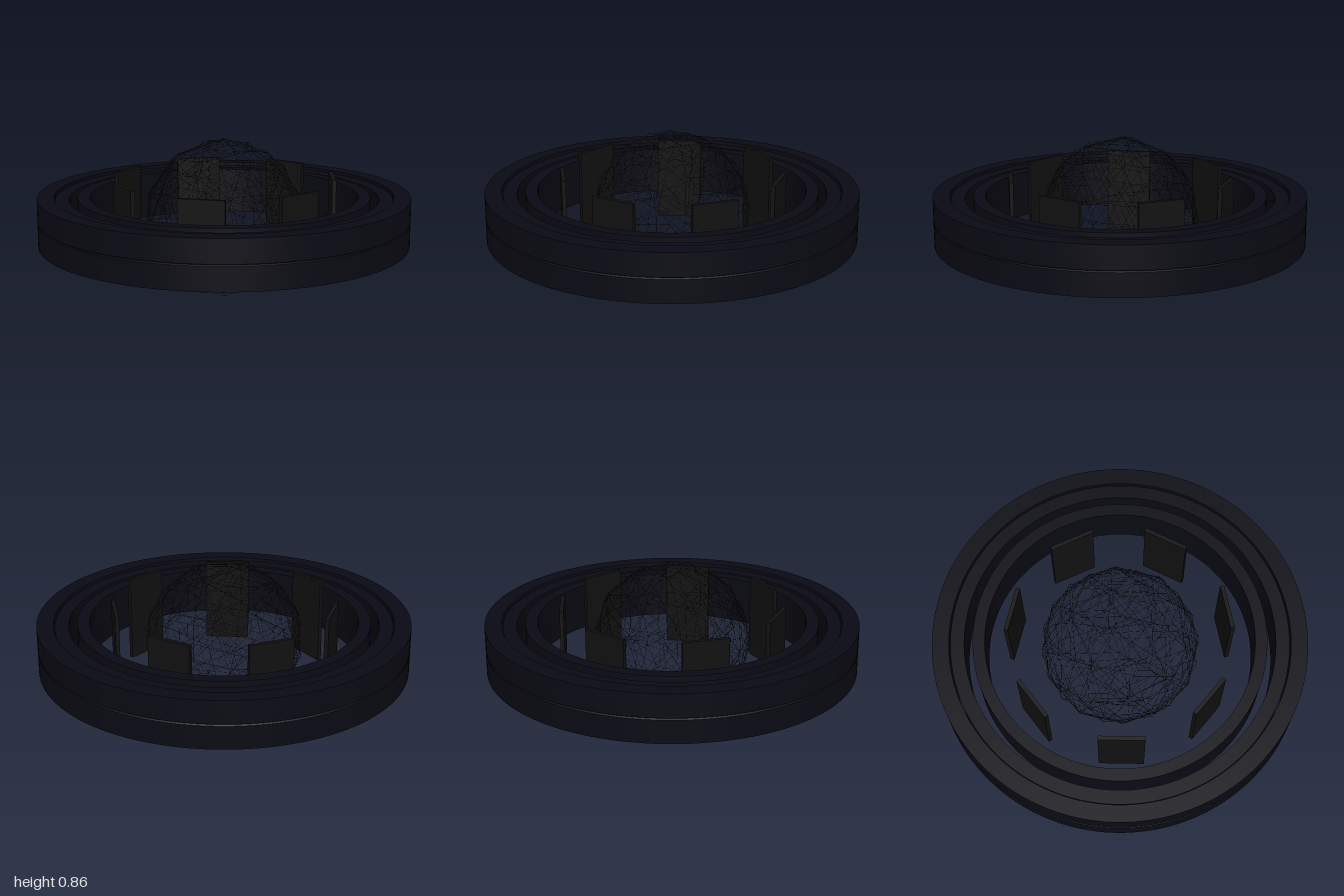
import * as THREE from 'three';
import { mergeGeometries } from 'three/addons/utils/BufferGeometryUtils.js';

const ringMat = new THREE.MeshStandardMaterial({ color: 0x0a0a14 });
const panelMat = new THREE.MeshStandardMaterial({ color: 0x111111 });
const wireMat = new THREE.MeshStandardMaterial({ color: 0x111111 });

// Ring from a closed profile, one lathe per side so the edges stay sharp
function ring(name, profile) {
  const sides = profile.map((p, i) => {
    const q = profile[(i + 1) % profile.length];
    return new THREE.LatheGeometry([new THREE.Vector2(...p), new THREE.Vector2(...q)], 128);
  });
  const mesh = new THREE.Mesh(mergeGeometries(sides), ringMat);
  mesh.name = name;
  return mesh;
}

const band = (r0, r1, y0, y1) => [[r0, y0], [r1, y0], [r1, y1], [r0, y1]];

// Thin rod between two points
function rod(a, b, radius) {
  const dir = b.clone().sub(a);
  const geo = new THREE.CylinderGeometry(radius, radius, dir.length(), 3, 1, true);
  const turn = new THREE.Quaternion().setFromUnitVectors(
    new THREE.Vector3(0, 1, 0), dir.clone().normalize());
  geo.applyQuaternion(turn);
  const mid = a.clone().add(b).multiplyScalar(0.5);
  return geo.translate(mid.x, mid.y, mid.z);
}

// Overlapping wire cages, each turned differently
function wireSphere(radius, cages) {
  const rods = [];
  for (let c = 0; c < cages; c++) {
    const cage = new THREE.IcosahedronGeometry(radius, 1);
    cage.applyMatrix4(new THREE.Matrix4().makeRotationFromEuler(
      new THREE.Euler(c * 0.83, c * 1.37, c * 0.59)));
    const pos = new THREE.EdgesGeometry(cage, 0.1).attributes.position;
    for (let i = 0; i < pos.count; i += 2) {
      const a = new THREE.Vector3().fromBufferAttribute(pos, i);
      const b = new THREE.Vector3().fromBufferAttribute(pos, i + 1);
      rods.push(rod(a, b, 0.0009));
    }
  }
  const mesh = new THREE.Mesh(mergeGeometries(rods), wireMat);
  mesh.name = 'wireSphere';
  return mesh;
}

export function createModel() {
  const model = new THREE.Group();
  model.name = 'ringedSphere';

  // Outer ring with a fine groove round its middle
  model.add(ring('outerRing', [
    [0.91, 0.30], [1, 0.30], [1, 0.425], [0.992, 0.43], [1, 0.435], [1, 0.56], [0.91, 0.56],
  ]));
  model.add(ring('middleRing', band(0.83, 0.904, 0.285, 0.545)));
  model.add(ring('innerRing', band(0.72, 0.785, 0.30, 0.555)));

  // Seven upright panels around the sphere
  const panels = new THREE.Group();
  panels.name = 'panels';
  for (let i = 0; i < 7; i++) {
    const a = (i * Math.PI * 2) / 7;
    const panel = new THREE.Mesh(new THREE.BoxGeometry(0.022, 0.465, 0.245), panelMat);
    panel.name = 'panel';
    panel.position.set(0.585 * Math.cos(a), 0.42, 0.585 * Math.sin(a));
    panel.rotation.y = -a - 0.03;
    panels.add(panel);
  }
  model.add(panels);

  const sphere = wireSphere(0.427, 4);
  sphere.position.y = 0.43;
  model.add(sphere);
  return model;
}
